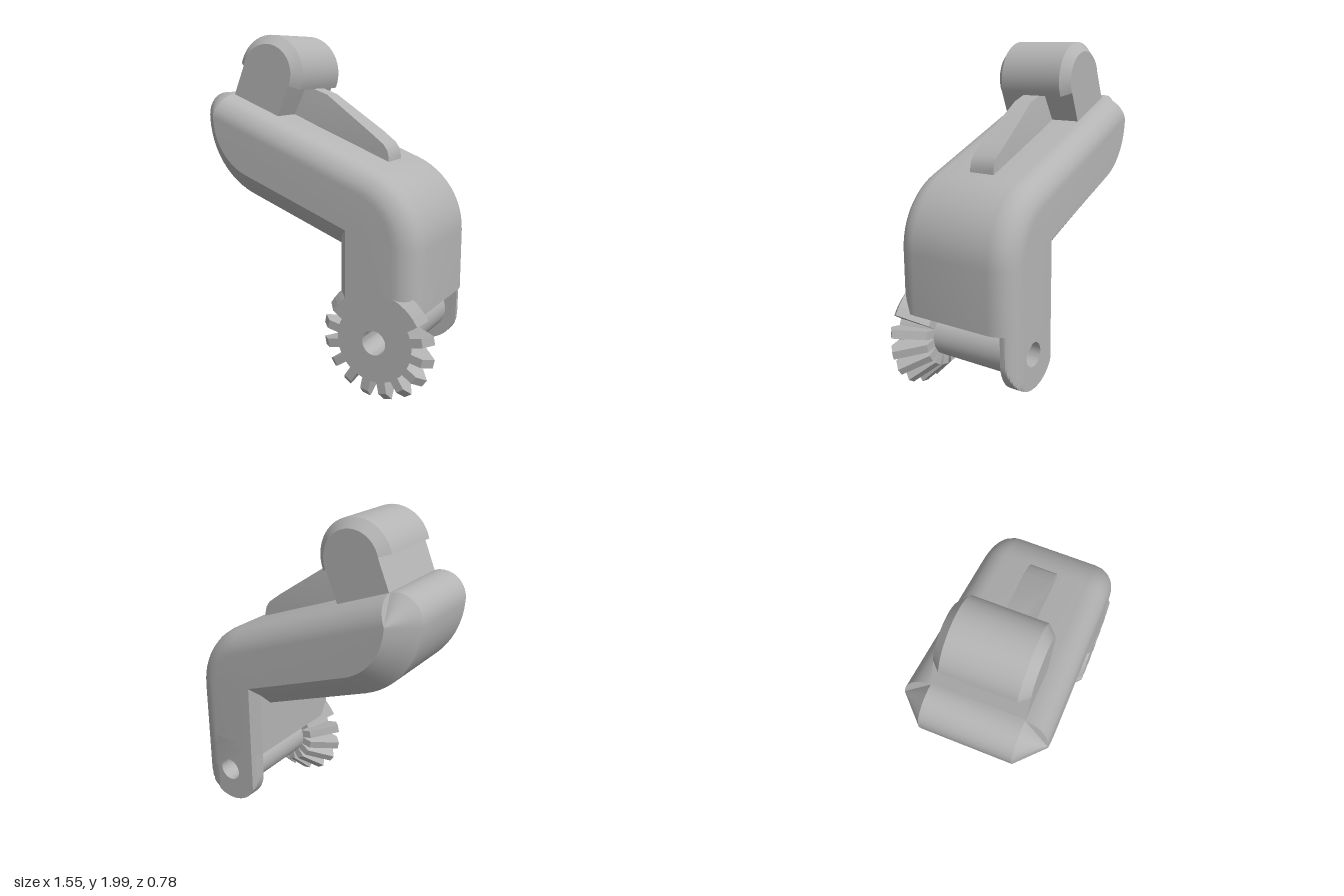
import * as THREE from 'three';
import { toCreasedNormals } from 'three/addons/utils/BufferGeometryUtils.js';

const grey = new THREE.MeshStandardMaterial({ color: 0xb4b4b4, side: THREE.DoubleSide });
grey.name = 'plain grey';

const rad = THREE.MathUtils.degToRad;
const HALF = 0.39, BEVEL = 0.14;      // body half depth and edge size
const AXLE = [0.43, 0.345];           // axle centre in x, y
const KNOB = [-0.353, 1.78];          // knob centre in x, y

const v2 = (list) => list.map(([x, y]) => new THREE.Vector2(x, y));
const roundEdge = (t) => 1 - Math.sqrt(Math.max(0, 1 - (t / BEVEL) ** 2));
const legEdge = (t) => Math.max(0, (t - 0.09) / 0.05);

// Body: full outline p blends to inset outline q towards each flat side
function bodyGeometry() {
  const pts = [];
  const add = (kind, px, py, qx, qy) => pts.push({ kind, px, py, qx, qy });
  const arc = (kind, cx, cy, rp, rq, a0, a1, n) => {
    for (let i = 0; i <= n; i++) {
      const a = rad(a0 + (a1 - a0) * i / n), c = Math.cos(a), s = Math.sin(a);
      add(kind, cx + rp * c, cy + rp * s, cx + rq * c, cy + rq * s);
    }
  };
  add('round', 0.67, 0.51, 0.53, 0.51);
  arc('round', 0.22, 0.868, 0.45, 0.31, 0, 69, 12);
  arc('round', -0.64, 1.53, 0.14, 0.0005, 69, 69, 1);
  arc('chamfer', -0.64, 1.53, 0.14, 0.0005, 69, 180, 10);
  arc('chamfer', -0.29, 1.53, 0.49, 0.35, 182, 249, 12);
  add('leg', 0.2, 0.825, 0.25, 0.955);
  add('leg', 0.2, 0.51, 0.25, 0.51);

  const ts = [0, 0.036, 0.07, 0.09, 0.105, 0.122, 0.133, 0.138, BEVEL];
  const layers = [...ts.map((t) => [-(HALF - BEVEL + t), t]).reverse(), ...ts.map((t) => [HALF - BEVEL + t, t])];
  const pos = [], index = [], n = pts.length;
  for (const [z, t] of layers) {
    for (const p of pts) {
      const fy = p.kind === 'round' ? roundEdge(t) : t / BEVEL;
      const fx = p.kind === 'leg' ? legEdge(t) : fy;
      pos.push(p.px + (p.qx - p.px) * fx, p.py + (p.qy - p.py) * fy, z);
    }
  }
  for (let k = 0; k < layers.length - 1; k++) {
    for (let i = 0; i < n; i++) {
      const j = (i + 1) % n, a = k * n + i, b = k * n + j;
      index.push(a, b, b + n, a, b + n, a + n);
    }
  }
  const top = (layers.length - 1) * n;
  for (const [a, b, c] of THREE.ShapeUtils.triangulateShape(v2(pts.map((p) => [p.qx, p.qy])), [])) {
    index.push(top + a, top + b, top + c, c, b, a);
  }
  const g = new THREE.BufferGeometry();
  g.setAttribute('position', new THREE.Float32BufferAttribute(pos, 3));
  g.setIndex(index);
  return toCreasedNormals(g, 0.5);
}

// Turned part about the z axis, between two angles measured from +x
function turned(profile, from = 0, to = 360, segments = 48) {
  const g = new THREE.LatheGeometry(v2(profile), segments, rad(from + 90), rad(to - from));
  return toCreasedNormals(g.rotateX(Math.PI / 2), 0.5);
}

function extruded(shape, z0, z1, steps = 1) {
  const g = new THREE.ExtrudeGeometry(shape, { depth: z1 - z0, steps, bevelEnabled: false, curveSegments: 24 });
  return g.translate(0, 0, z0);
}

// Moves every vertex by a rule, then rebuilds the normals
function reshape(g, rule) {
  const p = g.attributes.position, v = new THREE.Vector3();
  for (let i = 0; i < p.count; i++) {
    rule(v.fromBufferAttribute(p, i));
    p.setXYZ(i, v.x, v.y, v.z);
  }
  return toCreasedNormals(g, 0.5);
}

export function createModel() {
  const model = new THREE.Group();
  model.name = 'lever';
  const add = (name, geometry, parent = model) => {
    const mesh = new THREE.Mesh(geometry, grey);
    mesh.name = name;
    parent.add(mesh);
    return mesh;
  };

  add('body', bodyGeometry());

  // Rear lug, trimmed to follow the body's rounded and chamfered edges
  const lug = new THREE.Shape();
  lug.moveTo(AXLE[0] + 0.21, 0.56);
  lug.lineTo(AXLE[0] - 0.205, 0.56);
  lug.lineTo(AXLE[0] - 0.205, AXLE[1]);
  lug.absarc(AXLE[0], AXLE[1], 0.205, Math.PI, Math.PI * 2, false);
  const bore = new THREE.Path();
  bore.absarc(AXLE[0], AXLE[1], 0.07, 0, Math.PI * 2, true);
  lug.holes.push(bore);
  add('rearLug', reshape(extruded(lug, -HALF, -0.31, 8), (v) => {
    const t = Math.min(BEVEL, -v.z - (HALF - BEVEL));
    v.x = Math.min(v.x, 0.67 - BEVEL * roundEdge(t));
    v.x = Math.max(v.x, 0.2 + 0.05 * legEdge(t));
  }));

  // Bevel gear with a hollow shaft
  const gear = new THREE.Group();
  gear.name = 'gear';
  gear.position.set(AXLE[0], AXLE[1], 0);
  model.add(gear);
  add('shaft', turned([[0.07, -0.32], [0.137, -0.32], [0.137, 0.2], [0.225, 0.39], [0.07, 0.39], [0.07, -0.32]]), gear);
  const toothProfile = [[0.12, 0.2], [0.2, 0.2], [0.34, 0.34], [0.29, 0.39], [0.2, 0.39]];
  const tooth = extruded(new THREE.Shape(v2(toothProfile)), -0.025, 0.025).rotateX(Math.PI / 2);
  for (let i = 0; i < 16; i++) {
    const angle = 11.25 + 22.5 * i;
    if (angle > 40 && angle < 140) continue;
    add('tooth', tooth, gear).rotation.z = rad(angle);
  }
  add('solidSector', turned([...toothProfile, toothProfile[0]], 33.75, 146.25, 20), gear);

  // Post, a leaning slab with a round top
  const lean = rad(67), c = Math.cos(lean), s = Math.sin(lean), r = 0.165;
  const post = new THREE.Shape();
  post.moveTo(KNOB[0] - r * s - 0.25 * c, KNOB[1] + r * c - 0.25 * s);
  post.lineTo(KNOB[0] + r * s - 0.25 * c, KNOB[1] - r * c - 0.25 * s);
  post.absarc(KNOB[0], KNOB[1], r, lean - Math.PI / 2, lean + Math.PI / 2, false);
  add('post', toCreasedNormals(extruded(post, -0.25, 0.25), 0.5));

  // Knob cap, a half drum with chamfered ends
  const knob = new THREE.Group();
  knob.name = 'knobCap';
  knob.position.set(KNOB[0], KNOB[1], 0);
  model.add(knob);
  const capProfile = [[0, -0.25], [0.168, -0.25], [0.22, -0.2], [0.22, 0.2], [0.168, 0.25], [0, 0.25]];
  add('capShell', turned(capProfile, -24, 164, 28), knob);
  const capEnd = new THREE.ShapeGeometry(new THREE.Shape(v2(capProfile))).rotateX(Math.PI / 2);
  for (const angle of [-24, 164]) add('capEnd', capEnd, knob).rotation.z = rad(angle);

  // Rib behind the post, narrowing towards its high end
  const rib = new THREE.Shape(v2([[-0.3, 1.48], [0.3, 1.24], [0.355, 1.27], [0.355, 1.32], [0.345, 1.36],
    [0.32, 1.395], [0.24, 1.455], [-0.06, 1.66], [-0.22, 1.715]]));
  add('rib', reshape(extruded(rib, -0.08, 0.08), (v) => {
    if (v.y > 1.6) v.z *= 0.7;
  }));

  return model;
}
